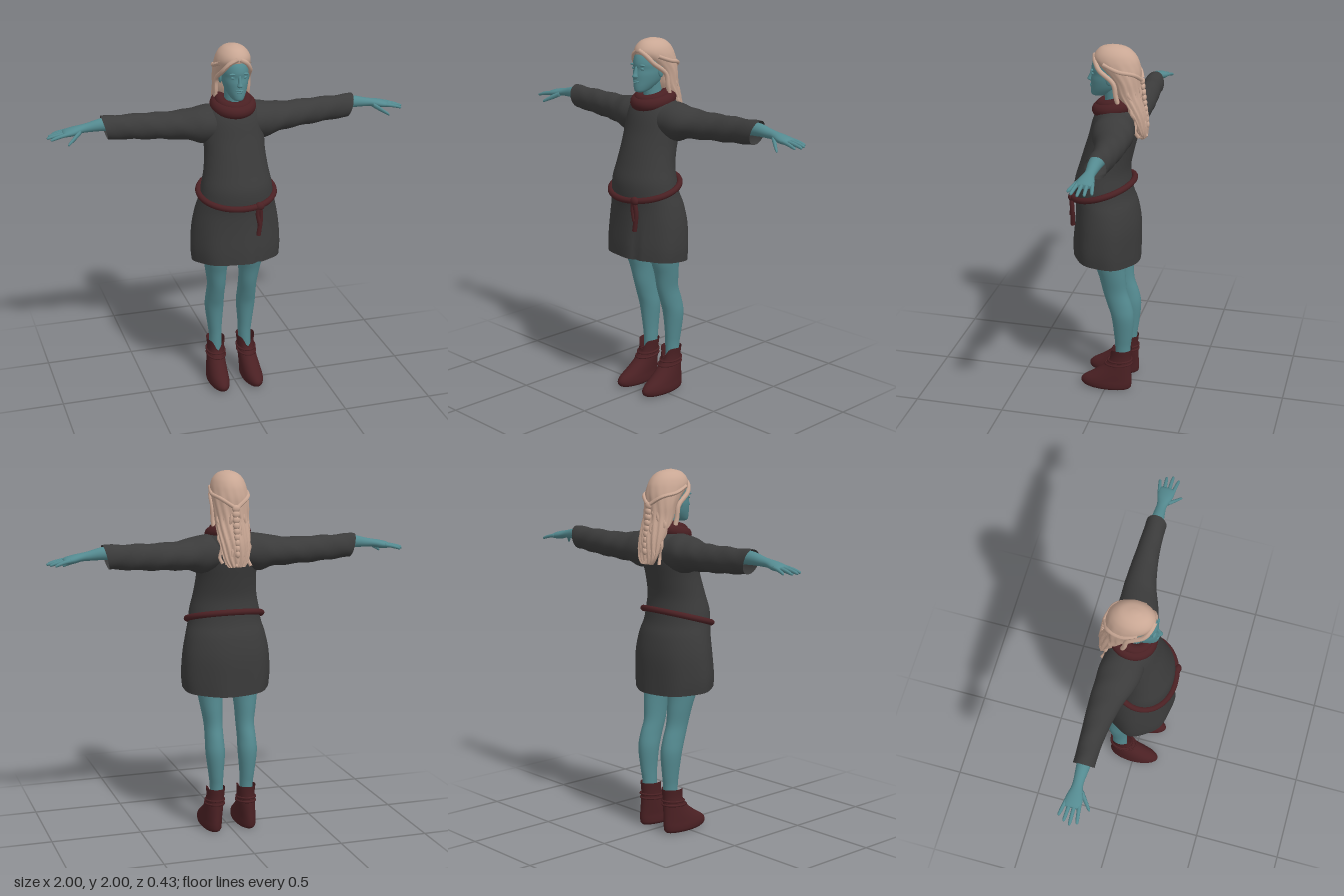
import * as THREE from 'three';

const mat = (name, color, side = THREE.FrontSide) => {
  const m = new THREE.MeshStandardMaterial({ color, side });
  m.name = name;
  return m;
};

// Catmull-Rom blend of one ring parameter
const blend = (a, b, c, d, t) =>
  0.5 * (2 * b + (c - a) * t + (2 * a - 5 * b + 4 * c - d) * t * t + (3 * b - a - 3 * c + d) * t * t * t);

// Smooth body through oval rings: [position on axis, centre, half width, z back, z front]
function loft(rings, { axis = 'y', sides = 24, steps = 4, caps = true, warp = null } = {}) {
  const pos = [], idx = [], last = rings.length - 1;
  const at = (i) => rings[Math.max(0, Math.min(last, i))];
  const rows = last * steps + 1;
  for (let r = 0; r < rows; r++) {
    const i = Math.min(last - 1, Math.floor(r / steps)), t = r / steps - i;
    const [s, c, w, zb, zf] = at(i).map((_, k) => blend(at(i - 1)[k], at(i)[k], at(i + 1)[k], at(i + 2)[k], t));
    for (let j = 0; j < sides; j++) {
      const a = (j / sides) * Math.PI * 2;
      const z = (zb + zf) / 2 + ((zf - zb) / 2) * Math.cos(a);
      const p = axis === 'y'
        ? new THREE.Vector3(c + w * Math.sin(a), s, z)
        : new THREE.Vector3(s, c - w * Math.sin(a), z);
      if (warp) warp(p, a);
      pos.push(p.x, p.y, p.z);
    }
  }
  for (let r = 0; r < rows - 1; r++) for (let j = 0; j < sides; j++) {
    const k = (j + 1) % sides, a = r * sides + j, b = r * sides + k;
    idx.push(a, b, b + sides, a, b + sides, a + sides);
  }
  if (caps) for (const [row, flip] of [[0, true], [rows - 1, false]]) {
    const [s, c, , zb, zf] = at(row ? last : 0), base = row * sides, n = pos.length / 3;
    pos.push(...(axis === 'y' ? [c, s, (zb + zf) / 2] : [s, c, (zb + zf) / 2]));
    for (let j = 0; j < sides; j++) {
      const a = base + j, b = base + (j + 1) % sides;
      idx.push(n, flip ? b : a, flip ? a : b);
    }
  }
  const g = new THREE.BufferGeometry();
  g.setAttribute('position', new THREE.Float32BufferAttribute(pos, 3));
  g.setIndex(idx);
  g.computeVertexNormals();
  return g;
}

// Copy of a geometry on the other side of the body
function mirrored(geo) {
  const g = geo.clone().scale(-1, 1, 1), a = g.index.array;
  for (let i = 0; i < a.length; i += 3) [a[i], a[i + 1]] = [a[i + 1], a[i]];
  g.computeVertexNormals();
  return g;
}

const tube = (pts, r, closed = false, seg = 24, sides = 8) =>
  new THREE.TubeGeometry(new THREE.CatmullRomCurve3(pts.map((p) => new THREE.Vector3(...p)), closed), seg, r, sides, closed);

const blob = (x, y, z, rx, ry, rz) =>
  new THREE.SphereGeometry(1, 16, 12).scale(rx, ry, rz).translate(x, y, z);

// Points of a tilted oval loop round the body
const loop = (y, tilt, rx, zb, zf, n = 20) => Array.from({ length: n }, (_, i) => {
  const a = (i / n) * Math.PI * 2;
  return [rx * Math.sin(a), y - tilt * Math.cos(a), (zb + zf) / 2 + ((zf - zb) / 2) * Math.cos(a)];
});

export function createModel() {
  const model = new THREE.Group();
  const skin = mat('teal skin', 0x548a90);
  const hair = mat('pale hair', 0xc9a794);
  const cloth = mat('charcoal cloth', 0x3b3b3b, THREE.DoubleSide);
  const leather = mat('dark red leather', 0x4a2023, THREE.DoubleSide);

  const add = (name, geo, m) => {
    const mesh = new THREE.Mesh(geo, m);
    mesh.name = name;
    model.add(mesh);
  };
  const pair = (name, geo, m) => {
    add(name + 'Left', geo, m);
    add(name + 'Right', mirrored(geo), m);
  };

  // Tunic with a gathered skirt and a front fold
  add('tunic', loft([
    [0.80, 0, 0.243, -0.172, 0.203], [0.88, 0, 0.25, -0.172, 0.2], [1.0, 0, 0.243, -0.17, 0.19],
    [1.1, 0, 0.224, -0.152, 0.187], [1.17, 0, 0.205, -0.127, 0.195], [1.24, 0, 0.195, -0.115, 0.193],
    [1.32, 0, 0.178, -0.11, 0.17], [1.42, 0, 0.167, -0.13, 0.14], [1.5, 0, 0.168, -0.15, 0.115],
    [1.58, 0, 0.165, -0.163, 0.095], [1.63, 0, 0.15, -0.155, 0.075], [1.67, 0, 0.115, -0.13, 0.05],
    [1.7, 0, 0.08, -0.1, 0.02],
  ], {
    sides: 72, caps: false, warp: (p, a) => {
      const f = Math.max(0, (1.12 - p.y) / 0.32);
      const k = 1 + f * (0.018 * Math.sin(7 * a) - 0.07 * Math.exp(-(((a - 0.33) / 0.07) ** 2)));
      p.x *= k;
      p.z *= k;
      p.y += f * 0.018 * Math.cos(a);
    },
  }), cloth);

  // Sleeves with slanted cuffs
  pair('sleeve', loft([
    [0.05, 1.57, 0.09, -0.15, 0.06], [0.16, 1.56, 0.102, -0.165, 0.06], [0.24, 1.56, 0.083, -0.165, 0.04],
    [0.35, 1.56, 0.074, -0.165, 0], [0.5, 1.565, 0.07, -0.157, -0.028], [0.62, 1.571, 0.066, -0.15, -0.037],
    [0.69, 1.574, 0.067, -0.148, -0.037],
  ], {
    axis: 'x', sides: 32, caps: false, warp: (p, a) => {
      if (p.x > 0.55) p.x += (p.y - 1.57) * (p.x - 0.55) * 1.8;
      p.y += 0.003 * Math.sin(p.x * 45 + 2 * a);
    },
  }), cloth);

  // Forearms, palms, fingers and thumbs
  pair('forearm', loft([
    [0.5, 1.585, 0.04, -0.135, -0.05], [0.68, 1.595, 0.036, -0.128, -0.055], [0.78, 1.585, 0.025, -0.12, -0.065],
    [0.82, 1.58, 0.022, -0.122, -0.06], [0.86, 1.572, 0.023, -0.133, -0.048], [0.9, 1.566, 0.018, -0.136, -0.046],
    [0.915, 1.564, 0.01, -0.128, -0.055],
  ], { axis: 'x' }), skin);
  const fingers = [[-0.126, -0.145, 0.965], [-0.103, -0.113, 0.988], [-0.08, -0.08, 1.0], [-0.058, -0.045, 0.985]];
  fingers.forEach(([z0, z1, tip], i) => {
    const ring = (t, y, r) => {
      const z = z0 + (z1 - z0) * t;
      return [0.88 + (tip - 0.88) * t, y, r, z - r, z + r];
    };
    pair('finger' + (i + 1), loft([
      ring(0, 1.569, 0.011), ring(0.4, 1.563, 0.01), ring(0.75, 1.555, 0.009), ring(0.95, 1.549, 0.007), ring(1, 1.548, 0.002),
    ], { axis: 'x', sides: 10 }), skin);
  });
  pair('thumb', loft([
    [0.82, 1.572, 0.014, -0.085, -0.055], [0.85, 1.555, 0.014, -0.06, -0.032], [0.875, 1.54, 0.011, -0.036, -0.014],
    [0.895, 1.528, 0.008, -0.018, -0.002], [0.9, 1.525, 0.002, -0.01, -0.004],
  ], { axis: 'x', sides: 10 }), skin);

  // Legs
  pair('leg', loft([
    [0.1, 0.09, 0.035, -0.135, -0.05], [0.25, 0.087, 0.036, -0.137, -0.05], [0.33, 0.09, 0.041, -0.147, -0.045],
    [0.45, 0.093, 0.053, -0.157, -0.03], [0.53, 0.093, 0.051, -0.143, -0.005], [0.61, 0.092, 0.051, -0.117, 0.02],
    [0.7, 0.097, 0.06, -0.11, 0.04], [0.8, 0.1, 0.073, -0.105, 0.07], [0.98, 0.105, 0.09, -0.11, 0.09],
  ]), skin);

  // Ankle boots with a notched front rim and straps
  pair('boot', loft([
    [0, 0.1, 0.046, -0.13, 0.12], [0.012, 0.1, 0.056, -0.143, 0.14], [0.035, 0.1, 0.058, -0.147, 0.147],
    [0.06, 0.099, 0.056, -0.147, 0.128], [0.09, 0.097, 0.054, -0.145, 0.08], [0.13, 0.094, 0.051, -0.143, 0.025],
    [0.17, 0.091, 0.049, -0.141, -0.01], [0.21, 0.089, 0.049, -0.142, -0.02], [0.25, 0.089, 0.053, -0.146, -0.022],
  ], {
    sides: 32, caps: false, warp: (p, a) => {
      if (p.y > 0.17) p.y -= (p.y - 0.17) * 0.75 * Math.exp(-((Math.sin(a / 2) / 0.22) ** 2));
    },
  }), leather);
  pair('bootSole', loft([[0, 0.1, 0.046, -0.13, 0.12], [0.01, 0.1, 0.054, -0.142, 0.138]], { steps: 1 }), leather);
  [0.155, 0.178].forEach((y, i) => pair('bootStrap' + (i + 1),
    tube(loop(y, 0.006, 0.051, -0.145, i ? -0.01 : 0.006).map(([x, v, z]) => [x + 0.091, v, z]), 0.006, true, 40, 6), leather));

  // Belt, knot and hanging ends
  add('belt', tube(loop(1.195, 0.05, 0.209, -0.13, 0.203), 0.017, true, 80, 10), leather);
  add('beltKnot', blob(0.085, 1.15, 0.197, 0.026, 0.024, 0.02), leather);
  add('beltEndLong', tube([[0.085, 1.15, 0.2], [0.092, 1.08, 0.193], [0.08, 0.98, 0.193]], 0.013), leather);
  add('beltEndShort', tube([[0.08, 1.15, 0.203], [0.072, 1.11, 0.2], [0.085, 1.04, 0.2]], 0.011), leather);

  // Folded scarf
  add('scarfLower', tube(loop(1.665, 0.022, 0.088, -0.115, 0.062), 0.037, true, 64, 14), leather);
  add('scarfUpper', tube(loop(1.69, 0.022, 0.072, -0.095, 0.05), 0.029, true, 64, 12), leather);

  // Neck and head
  add('neck', loft([[1.6, 0, 0.06, -0.09, 0.03], [1.7, 0, 0.048, -0.08, 0.03], [1.82, 0, 0.05, -0.08, 0.04]]), skin);
  add('head', loft([
    [1.715, 0, 0.014, 0.055, 0.088], [1.722, 0, 0.03, 0.02, 0.103], [1.745, 0, 0.046, -0.03, 0.107],
    [1.775, 0, 0.06, -0.07, 0.106], [1.81, 0, 0.069, -0.09, 0.105], [1.84, 0, 0.072, -0.1, 0.1],
    [1.87, 0, 0.073, -0.1, 0.103], [1.91, 0, 0.068, -0.1, 0.091], [1.95, 0, 0.05, -0.08, 0.058],
  ], { sides: 32 }), skin);
  add('nose', loft([
    [1.793, 0, 0.009, 0.09, 0.112], [1.802, 0, 0.016, 0.085, 0.126], [1.82, 0, 0.01, 0.085, 0.119], [1.855, 0, 0.007, 0.085, 0.105],
  ], { sides: 16 }), skin);
  add('upperLip', blob(0, 1.776, 0.102, 0.023, 0.005, 0.009), skin);
  add('lowerLip', blob(0, 1.767, 0.102, 0.019, 0.006, 0.009), skin);
  pair('eye', blob(0.031, 1.843, 0.086, 0.014, 0.007, 0.009), skin);
  pair('brow', blob(0.032, 1.863, 0.09, 0.022, 0.006, 0.009), skin);
  pair('ear', blob(0.076, 1.825, -0.01, 0.009, 0.031, 0.018).rotateX(0), skin);

  // Hair mass, swept back and falling behind the shoulders
  add('hair', loft([
    [1.5, 0, 0.045, -0.197, -0.165], [1.54, 0, 0.07, -0.2, -0.155], [1.62, 0, 0.083, -0.2, -0.105],
    [1.69, 0, 0.09, -0.185, -0.06], [1.75, 0, 0.092, -0.17, -0.025], [1.81, 0, 0.097, -0.165, -0.01],
    [1.86, 0, 0.099, -0.165, 0.035], [1.9, 0, 0.097, -0.158, 0.075], [1.93, 0, 0.091, -0.147, 0.088],
    [1.96, 0, 0.077, -0.125, 0.076], [1.985, 0, 0.05, -0.09, 0.048], [1.998, 0, 0.012, -0.035, 0.0],
  ], {
    sides: 72, warp: (p, a) => {
      const f = Math.min(1, Math.max(0, (1.95 - p.y) / 0.25));
      const k = 1 + 0.03 * f * Math.sin(14 * a + p.y * 30);
      p.x *= k;
      if (p.z < -0.05) p.z *= k;
    },
  }), hair);

  // Locks framing the face
  pair('sideLock', tube([[0.004, 1.94, 0.084], [0.045, 1.915, 0.072], [0.073, 1.875, 0.045], [0.088, 1.81, -0.035],
    [0.09, 1.74, -0.05], [0.085, 1.67, -0.07]], 0.013, false, 32), hair);
  pair('crownBraid', tube([[0.085, 1.91, 0.02], [0.098, 1.88, -0.06], [0.07, 1.86, -0.14], [0.012, 1.82, -0.172]], 0.011), hair);

  // Central braid and wavy strands down the back
  for (let i = 0; i < 9; i++) add('braidKnot' + (i + 1), blob(0, 1.81 - i * 0.03, -0.172 - i * 0.0035, 0.022 - i * 0.001, 0.02, 0.014), hair);
  for (let i = 0; i < 7; i++) {
    const s = (i - 3) / 3, pts = [];
    for (let k = 0; k <= 8; k++) {
      const t = k / 8;
      pts.push([s * 0.078 + 0.007 * Math.sin(k * 2.1 + i), 1.78 - t * (0.25 + 0.03 * Math.cos(i * 2.3)),
        -0.165 + 0.055 * s * s * (1 - 0.5 * t) - 0.03 * t + 0.006 * Math.cos(k * 1.9 + i * 2)]);
    }
    add('backStrand' + (i + 1), tube(pts, 0.01, false, 32, 6), hair);
  }
  return model;
}
